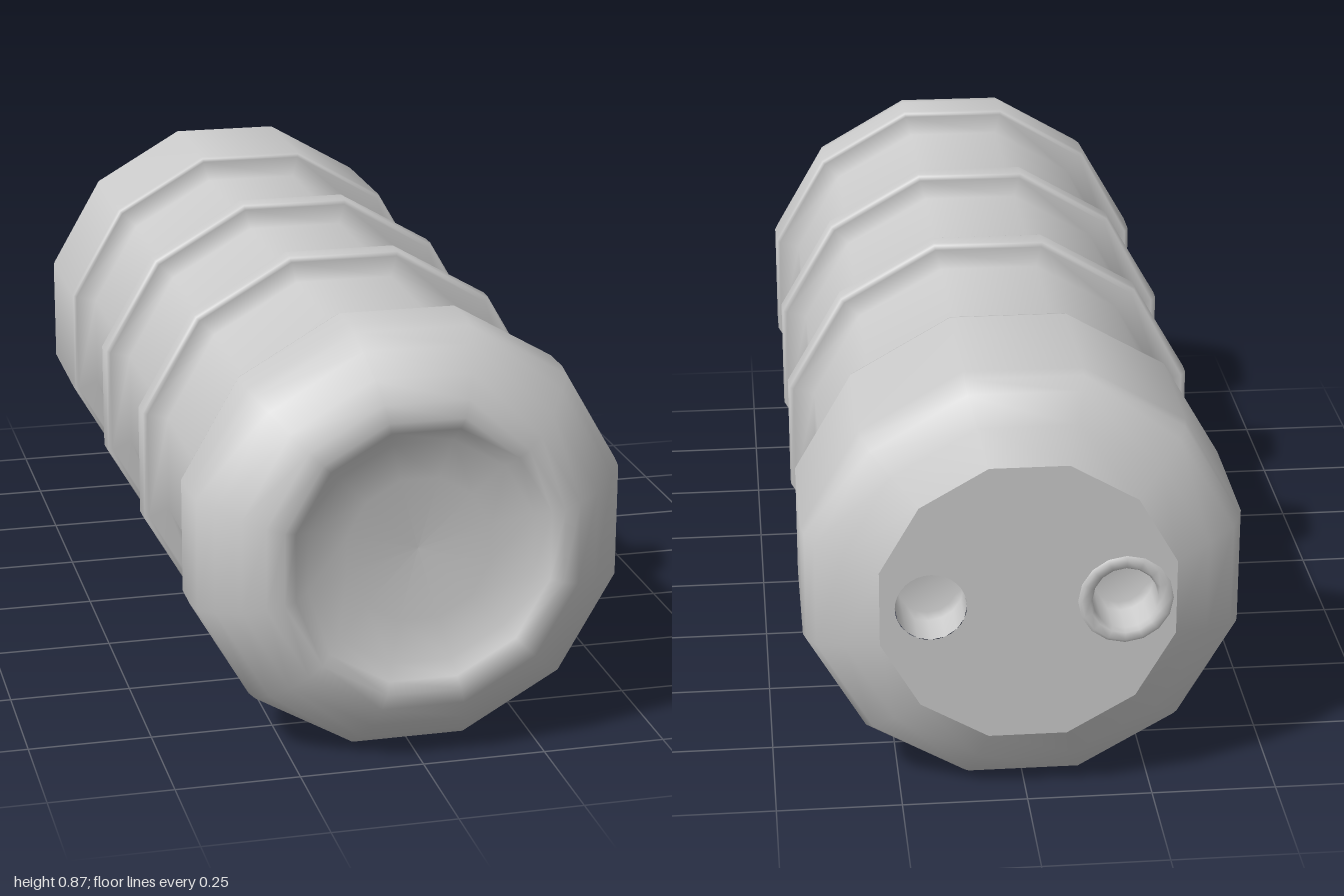
import * as THREE from 'three';

const SIDES = 12;
const R = 0.45;       // corner radius of caps and rings
const CORE = 0.393;   // corner radius of the core between rings
const REAR = -0.995;  // plane of the rear face
const PLATE = 0.3;    // corner radius of the rear face
const MID = R * Math.cos(Math.PI / SIDES); // axis height, resting on a flat

const mat = new THREE.MeshStandardMaterial({ color: 0xcccccc });

// Revolve [radius, z] points about the z axis; list them back to front for an outer surface
function revolve(name, points, sides, start = 0) {
  const profile = points.map(([r, z]) => new THREE.Vector2(r, z));
  const geo = new THREE.LatheGeometry(profile, sides, start);
  geo.rotateX(Math.PI / 2);
  const mesh = new THREE.Mesh(geo, mat);
  mesh.name = name;
  return mesh;
}

// Profile of a thin raised ring with softened edges
function ringProfile(back, front) {
  const b = 0.012;
  return [
    [CORE, back], [R - b, back], [R - 0.003, back + 0.004], [R, back + b],
    [R, front - b], [R - 0.003, front - 0.004], [R - b, front], [CORE, front],
  ];
}

export function createModel() {
  const model = new THREE.Group();
  model.name = 'ribbedCylinder';
  const axis = new THREE.Group();
  axis.name = 'cylinderAssembly';
  axis.position.y = MID;
  model.add(axis);

  // Body: rear cap, core with two rings, rounded front cap and shallow front dish
  axis.add(revolve('body', [
    [PLATE, REAR], [0.37, -0.955], [0.425, -0.92], [0.444, -0.885], [R, -0.86],
    [R, -0.58], [R - 0.003, -0.57], [R - 0.01, -0.566], [CORE, -0.566],
    ...ringProfile(-0.163, -0.107),
    ...ringProfile(0.288, 0.343),
    [CORE, 0.753], [R - 0.01, 0.753], [R - 0.003, 0.757], [R, 0.766],
    [R, 0.84], [0.443, 0.88], [0.415, 0.92], [0.37, 0.965], [0.325, 0.99],
    [0.29, 1], [0.265, 0.99], [0.235, 0.968], [0.15, 0.948], [0, 0.94],
  ], SIDES, Math.PI / SIDES));

  // Rear face with openings for the socket and the grommet
  const offset = 0.19, socketR = 0.07, grommetR = 0.08;
  const corners = [];
  for (let i = 0; i < SIDES; i++) {
    const a = ((i + 0.5) / SIDES) * Math.PI * 2;
    corners.push(new THREE.Vector2(Math.cos(a) * PLATE, Math.sin(a) * PLATE));
  }
  const face = new THREE.Shape(corners);
  for (const [x, r] of [[-offset, socketR], [offset, grommetR]]) {
    face.holes.push(new THREE.Path().absarc(x, 0, r, 0, Math.PI * 2, true));
  }
  const plateGeo = new THREE.ShapeGeometry(face, 16);
  plateGeo.rotateY(Math.PI);
  const plate = new THREE.Mesh(plateGeo, mat);
  plate.name = 'rearFace';
  plate.position.z = REAR;
  axis.add(plate);

  // Plain recessed socket
  const socket = revolve('rearSocket', [
    [0, -0.9], [socketR * 0.85, -0.9], [socketR, -0.915], [socketR, REAR],
  ], 16);
  socket.position.x = offset;
  axis.add(socket);

  // Recess with a raised rim
  const grommet = revolve('rearGrommet', [
    [0, -0.9], [0.055, -0.9], [0.065, -0.915], [0.065, -0.99],
    [0.071, -1], [0.087, -1], [0.095, -0.994],
  ], 16);
  grommet.position.x = -offset;
  axis.add(grommet);

  return model;
}
